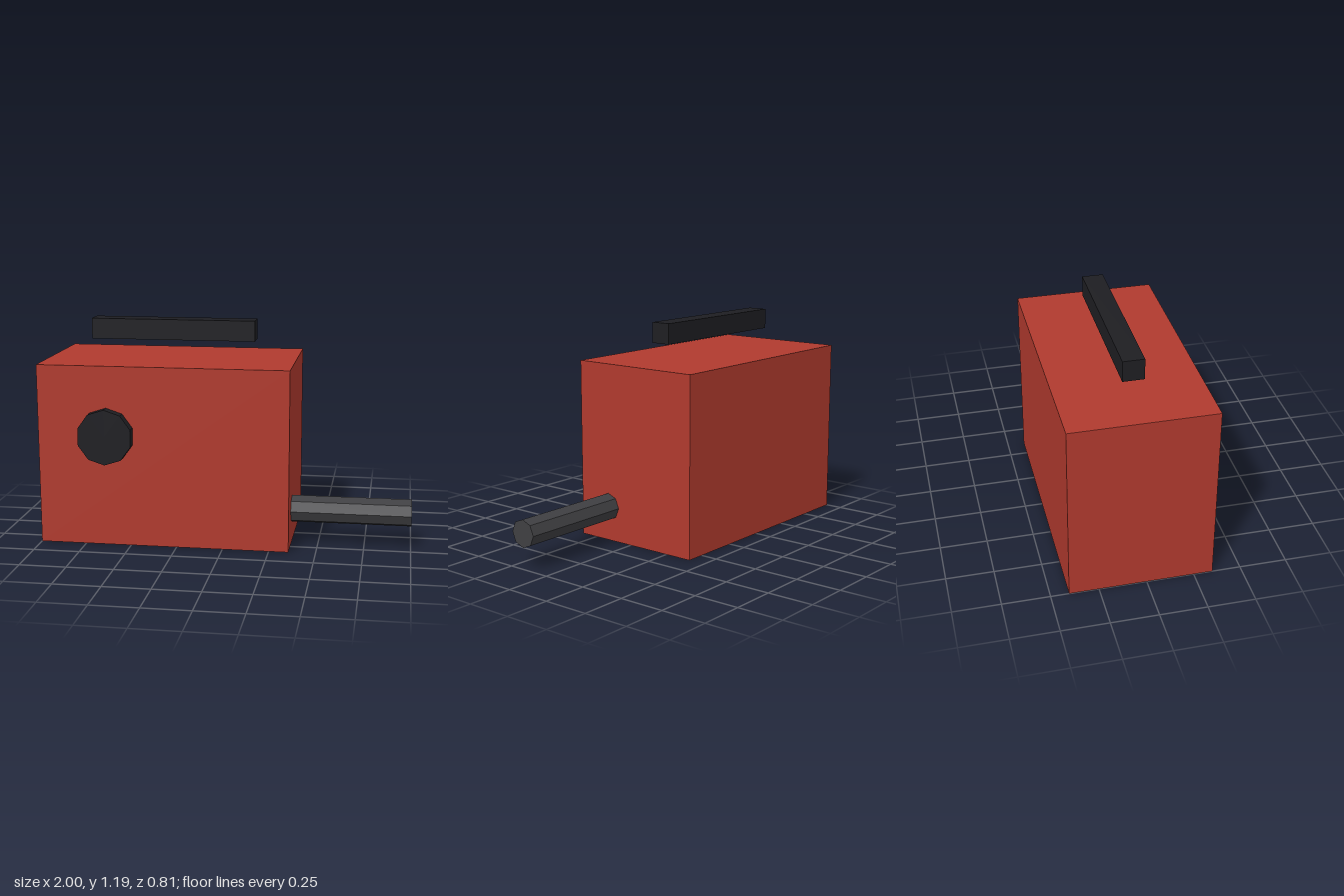
import * as THREE from 'three';

export function createModel() {
  const model = new THREE.Group();
  const paint = (color) => new THREE.MeshStandardMaterial({ color, flatShading: true });
  const red = paint(0xb03a2e);
  const black = paint(0x1e1e22);
  const steel = paint(0x3f3f42);

  const add = (name, geometry, material, x, y, z) => {
    const mesh = new THREE.Mesh(geometry, material);
    mesh.name = name;
    mesh.position.set(x, y, z);
    model.add(mesh);
    return mesh;
  };

  // Main housing
  add('body', new THREE.BoxGeometry(1.355, 0.98, 0.755), red, -0.3225, 0.49, -0.0275);

  // Carrying bar floating above the housing
  add('handle', new THREE.BoxGeometry(0.905, 0.112, 0.112), black, -0.3225, 1.135, -0.0275);

  // Ten-sided cap on the front face
  const cap = add('frontCap', new THREE.CylinderGeometry(0.15, 0.15, 0.056, 10), black, -0.625, 0.605, 0.377);
  cap.rotation.x = Math.PI / 2;

  // Eight-sided spout out of the left side
  const spout = add('spout', new THREE.CylinderGeometry(0.075, 0.075, 0.645, 8), steel, 0.6775, 0.19, 0.16);
  spout.rotation.z = Math.PI / 2;

  return model;
}
